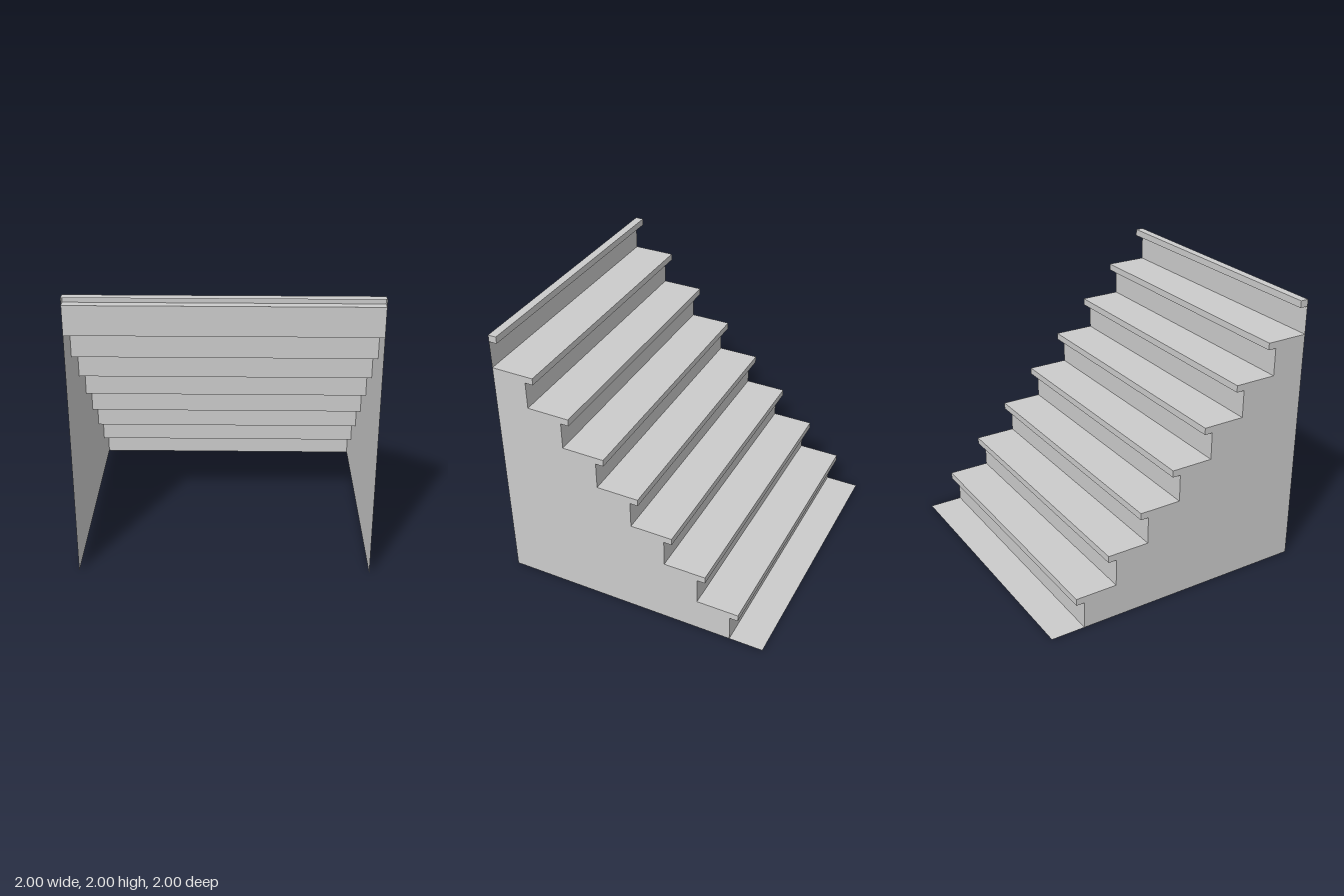
import * as THREE from 'three';

const STEPS = 8, RISE = 0.25, RUN = 0.25, LIP = 0.06, THICK = 0.05, HALF = 1;

const material = new THREE.MeshStandardMaterial({
  color: 0xcccccc, flatShading: true, side: THREE.DoubleSide,
});

// Full-width thin panel between two points (z, y) of the stair section
function panel(name, [z0, y0], [z1, y1]) {
  const geo = new THREE.BufferGeometry();
  geo.setAttribute('position', new THREE.Float32BufferAttribute([
    HALF, y0, z0, -HALF, y0, z0, -HALF, y1, z1, HALF, y1, z1,
  ], 3));
  geo.setIndex([0, 1, 2, 0, 2, 3]);
  geo.computeVertexNormals();
  const mesh = new THREE.Mesh(geo, material);
  mesh.name = name;
  return mesh;
}

// Thin side sheet; shape coordinates are (-z, y), turned to face along x
function sideSheet(name, points, x) {
  const shape = new THREE.Shape(points.map(([z, y]) => new THREE.Vector2(-z, y)));
  const mesh = new THREE.Mesh(new THREE.ShapeGeometry(shape), material);
  mesh.rotation.y = Math.PI / 2;
  mesh.position.x = x;
  mesh.name = name;
  return mesh;
}

export function createModel() {
  const group = new THREE.Group();
  group.name = 'staircase';

  // Flat landing strip on the ground before the first riser
  group.add(panel('groundTread', [-1, 0], [-1 + RUN, 0]));

  const wall = [[1, 0]];
  for (let i = 1; i <= STEPS; i++) {
    const z = -1 + i * RUN, y = i * RISE;
    const nose = z - LIP, under = y - THICK;
    const step = new THREE.Group();
    step.name = `step${i}`;
    // Riser, overhanging nosing and tread form one folded sheet
    step.add(
      panel('riser', [z, y - RISE], [z, under]),
      panel('nosingUnderside', [z, under], [nose, under]),
      panel('nosingFront', [nose, under], [nose, y]),
      panel('tread', [nose, y], [Math.min(z + RUN, 1), y]),
    );
    // End caps close the nosing on both sides
    for (const s of [1, -1]) {
      step.add(sideSheet('nosingEnd', [[z, under], [nose, under], [nose, y], [z, y]], s * HALF));
    }
    group.add(step);
    if (i < STEPS) wall.push([z, y - RISE], [z, y]);
  }
  wall.push([1, (STEPS - 1) * RISE]);

  // Stepped side walls; the back and the underside stay open
  const outline = wall.slice(1);
  outline.push([1, 0]);
  group.add(sideSheet('leftWall', outline, HALF), sideSheet('rightWall', outline, -HALF));
  return group;
}
